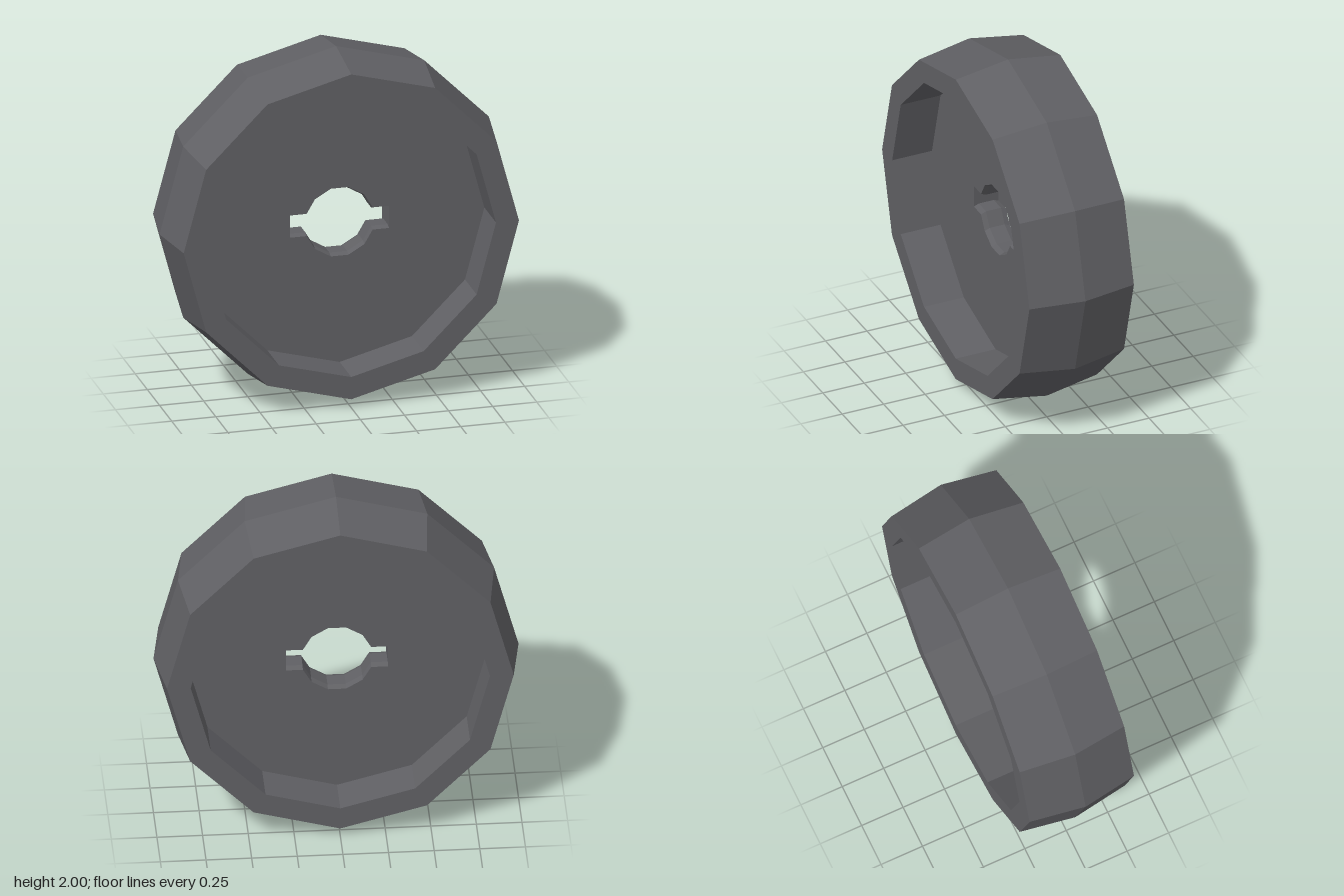
import * as THREE from 'three';

const SIDES = 12;
const RIM = 0.82;        // inner radius of the rim
const HALF_WIDTH = 0.315;
const HALF_DISC = 0.075; // half thickness of the recessed disc

// Keyed bore outline (counter-clockwise); inset narrows it vertically
function boreOutline(inset) {
  const quarter = [[0.28, 0.065], [0.187, 0.065], [0.14, 0.145], [0.05, 0.198]]
    .map(([x, y]) => [x, y - inset]);
  const mirrored = quarter.map(([x, y]) => [-x, y]).reverse();
  const top = [...quarter, ...mirrored];
  return [...top, ...top.map(([x, y]) => [-x, -y])];
}

// Bore wall lofted through sections from front to back
function boreGeometry() {
  const sections = [[HALF_DISC, 0], [HALF_DISC - 0.03, 0.012], [0.03 - HALF_DISC, 0.012], [-HALF_DISC, 0]];
  const positions = [];
  const index = [];
  const n = boreOutline(0).length;
  sections.forEach(([z, inset], s) => {
    boreOutline(inset).forEach(([x, y], i) => {
      positions.push(x, y, z);
      if (s === sections.length - 1) return;
      const a = s * n + i;
      const b = s * n + (i + 1) % n;
      index.push(a, b, b + n, a, b + n, a + n);
    });
  });
  const geometry = new THREE.BufferGeometry();
  geometry.setAttribute('position', new THREE.Float32BufferAttribute(positions, 3));
  geometry.setIndex(index);
  geometry.computeVertexNormals();
  return geometry;
}

export function createModel() {
  const group = new THREE.Group();
  group.name = 'wheel';
  const material = new THREE.MeshStandardMaterial({ color: 0x606064, flatShading: true });

  const add = (name, geometry) => {
    const mesh = new THREE.Mesh(geometry, material);
    mesh.name = name;
    mesh.position.y = 1;
    group.add(mesh);
    return mesh;
  };

  // Tyre: crowned tread, flat side lips and inner walls down to the disc
  const profile = [
    [RIM, -HALF_DISC], [RIM, -HALF_WIDTH], [0.95, -HALF_WIDTH], [1, 0],
    [0.95, HALF_WIDTH], [RIM, HALF_WIDTH], [RIM, HALF_DISC],
  ].map(([r, h]) => new THREE.Vector2(r, h));
  add('tyre', new THREE.LatheGeometry(profile, SIDES).rotateX(Math.PI / 2));

  // Recessed disc faces with the keyed bore cut out
  const disc = new THREE.Shape(Array.from({ length: SIDES }, (_, i) => {
    const angle = (i / SIDES) * Math.PI * 2;
    return new THREE.Vector2(RIM * Math.cos(angle), RIM * Math.sin(angle));
  }));
  disc.holes.push(new THREE.Path(boreOutline(0).map(([x, y]) => new THREE.Vector2(x, y))));
  const face = new THREE.ShapeGeometry(disc).translate(0, 0, HALF_DISC);
  add('frontDisc', face);
  add('backDisc', face).rotation.y = Math.PI;

  // Chamfered axle bore
  add('axleBore', boreGeometry());

  return group;
}
